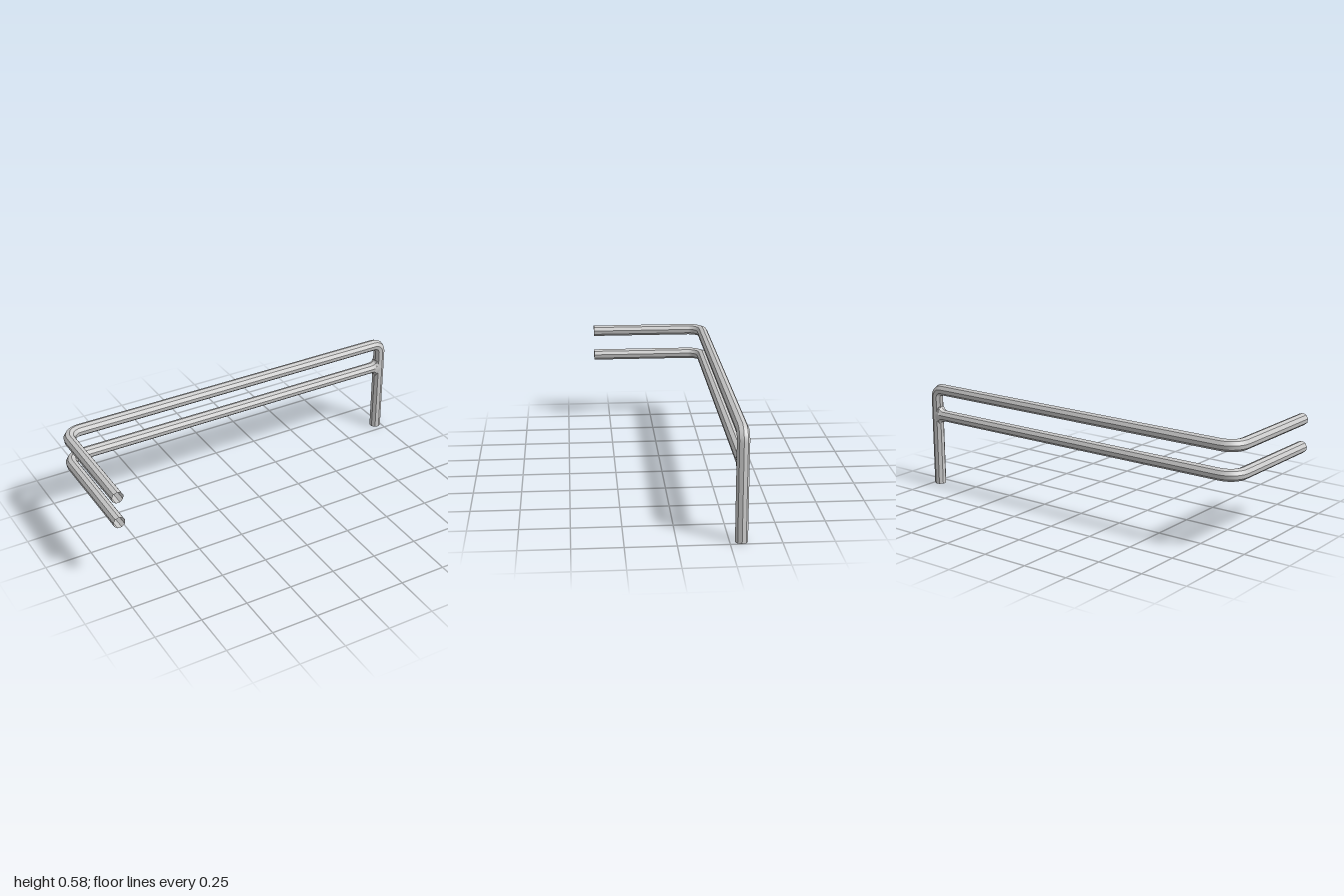
import * as THREE from 'three';
import { toCreasedNormals } from 'three/addons/utils/BufferGeometryUtils.js';

const R = 0.0315, SIDES = 9, BEND_STEPS = 6;
const LEFT = 0.9685, RIGHT = -0.969, BACK = -0.306, FRONT = 0.3385;
const V = (x, y, z) => new THREE.Vector3(x, y, z);

// Stations (position, tangent) along straight runs joined by circular bends
function bentPath(corners, radii) {
  const dirs = corners.slice(1).map((c, i) => c.clone().sub(corners[i]).normalize());
  const path = [{ p: corners[0], t: dirs[0] }];
  radii.forEach((r, i) => {
    const a = dirs[i], b = dirs[i + 1];
    // right-angle bend: the centre lies r back along a and r ahead along b
    const centre = corners[i + 1].clone().addScaledVector(a, -r).addScaledVector(b, r);
    for (let k = 0; k <= BEND_STEPS; k++) {
      const s = Math.sin(k / BEND_STEPS * Math.PI / 2), c = Math.cos(k / BEND_STEPS * Math.PI / 2);
      path.push({
        p: centre.clone().addScaledVector(a, r * s).addScaledVector(b, -r * c),
        t: a.clone().multiplyScalar(c).addScaledVector(b, s),
      });
    }
  });
  path.push({ p: corners.at(-1), t: dirs.at(-1) });
  return path;
}

// Sweeps a nine-sided ring with one vertex pointing up at the start;
// a station's "stretch" scales the ring along that vertex direction
function sweep(path) {
  const pos = [], index = [];
  const normal = V(0, 1, 0), turn = new THREE.Quaternion();
  path.forEach(({ p, t, stretch = 1 }, i) => {
    if (i) normal.applyQuaternion(turn.setFromUnitVectors(path[i - 1].t, t));
    const side = t.clone().cross(normal);
    for (let j = 0; j < SIDES; j++) {
      const a = j / SIDES * Math.PI * 2;
      const v = p.clone().addScaledVector(normal, R * stretch * Math.cos(a)).addScaledVector(side, R * Math.sin(a));
      pos.push(v.x, v.y, v.z);
      if (i) {
        const k = (j + 1) % SIDES, q = (i - 1) * SIDES, n = i * SIDES;
        index.push(q + j, q + k, n + j, q + k, n + k, n + j);
      }
    }
  });
  const g = new THREE.BufferGeometry();
  g.setAttribute('position', new THREE.Float32BufferAttribute(pos, 3));
  g.setIndex(index);
  return toCreasedNormals(g, THREE.MathUtils.degToRad(30));
}

export function createModel() {
  const group = new THREE.Group();
  // open tube ends show their inner walls
  const material = new THREE.MeshStandardMaterial({ color: 0xcccccc, side: THREE.DoubleSide });
  const add = (name, path) => {
    const mesh = new THREE.Mesh(sweep(path), material);
    mesh.name = name;
    group.add(mesh);
  };

  // Upper rail turning down into the post
  const top = 0.5455;
  add('upperRailAndPost', bentPath(
    [V(RIGHT, top, FRONT), V(RIGHT, top, BACK), V(LEFT, top, BACK), V(LEFT, 0, BACK)],
    [0.08, 0.045]));

  // Lower rail, flaring up and down where it meets the post
  const low = 0.3985, flare = 0.028, start = LEFT - R - flare + 0.004;
  const lower = bentPath([V(RIGHT, low, FRONT), V(RIGHT, low, BACK), V(start, low, BACK)], [0.08]);
  for (let k = 1; k <= 5; k++) {
    const a = k / 5 * Math.PI / 2;
    lower.push({
      p: V(start + flare * Math.sin(a), low, BACK), t: V(1, 0, 0),
      stretch: 1 + flare * (1 - Math.cos(a)) / R,
    });
  }
  lower.push({ p: V(LEFT, low, BACK), t: V(1, 0, 0), stretch: 1 + flare / R });
  add('lowerRail', lower);

  return group;
}
